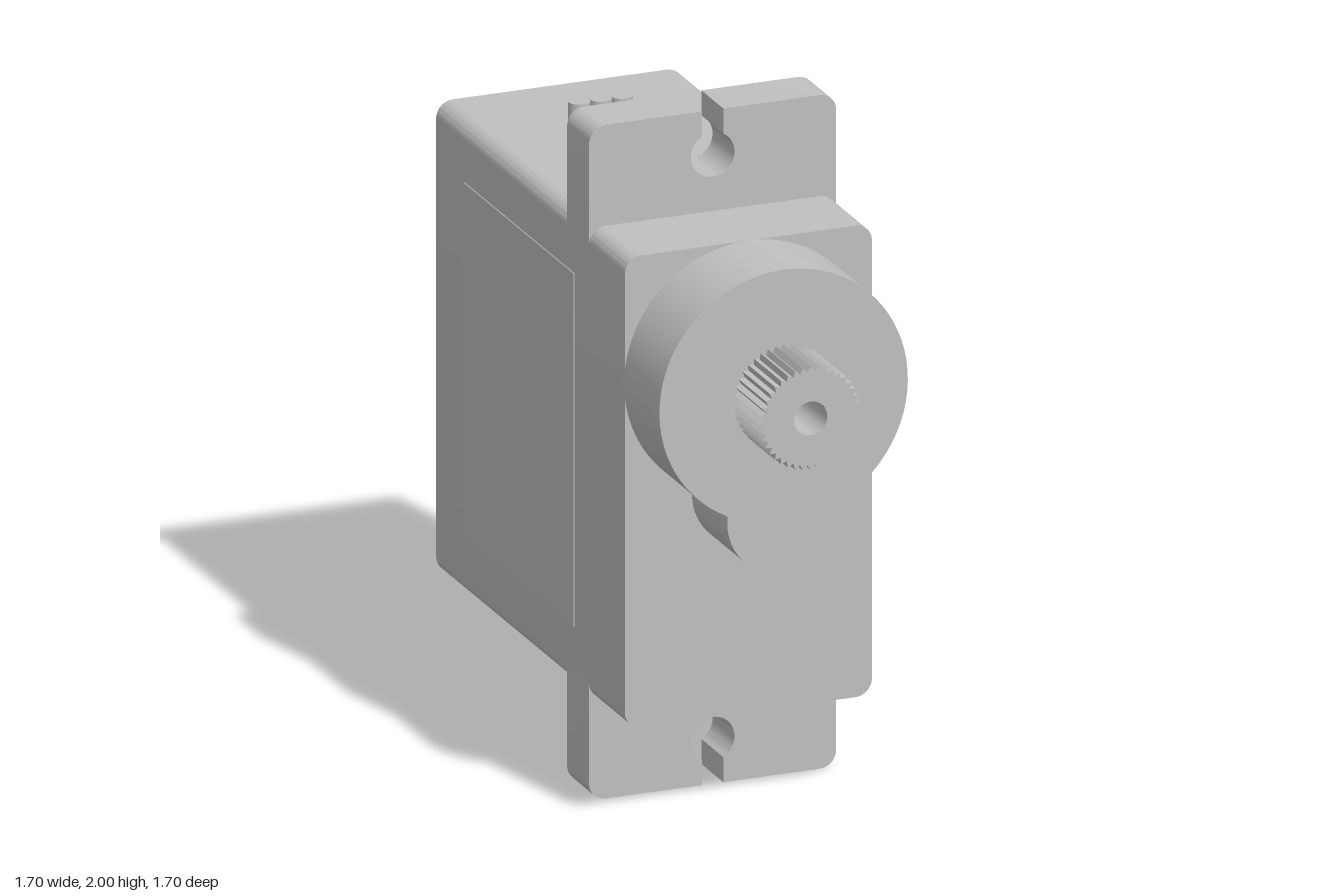
import * as THREE from 'three';
import { toCreasedNormals } from 'three/addons/utils/BufferGeometryUtils.js';

const HALF = 0.373;      // half width of the case
const AXIS_Y = 1.325;    // height of the output shaft

export function createModel() {
  const grey = new THREE.MeshStandardMaterial({ color: 0xc0c0c0 });
  grey.name = 'plastic grey';

  const root = new THREE.Group();
  root.name = 'servoMotor';
  const servo = new THREE.Group();
  servo.name = 'servo';
  servo.rotation.y = Math.PI / 4;
  root.add(servo);

  const add = (name, geometry) => {
    const mesh = new THREE.Mesh(geometry, grey);
    mesh.name = name;
    servo.add(mesh);
    return mesh;
  };

  // Extrude a front outline from z0 to z1
  const slab = (name, shape, z0, z1) => {
    const g = new THREE.ExtrudeGeometry(shape, { depth: z1 - z0, bevelEnabled: false, curveSegments: 32 });
    g.translate(0, 0, z0);
    return add(name, toCreasedNormals(g, 0.5));
  };

  const roundedRect = (w, y0, y1, r) => {
    const s = new THREE.Shape();
    s.absarc(w - r, y0 + r, r, -Math.PI / 2, 0);
    s.absarc(w - r, y1 - r, r, 0, Math.PI / 2);
    s.absarc(-w + r, y1 - r, r, Math.PI / 2, Math.PI);
    s.absarc(-w + r, y0 + r, r, Math.PI, Math.PI * 1.5);
    s.closePath();
    return s;
  };

  // Main case
  slab('case', roundedRect(HALF, 0.3, 1.7, 0.05), -0.83, 0.56);

  // Mounting ears, each with a round hole open to the end through a slot
  const ear = (yEnd, yBody) => {
    const dir = Math.sign(yEnd - yBody);
    const r = 0.05, slot = 0.032, hole = 0.066, a = Math.asin(slot / hole);
    const s = new THREE.Shape();
    const Y = (d) => yEnd - dir * d; // distance in from the free end
    const arc = (x, d, rad, from, to, n) => {
      for (let i = 0; i <= n; i++) {
        const t = from + (to - from) * i / n;
        s.lineTo(x + rad * Math.cos(t), Y(d - rad * Math.sin(t)));
      }
    };
    s.moveTo(-HALF, Y(0.36));
    s.lineTo(HALF, Y(0.36));
    arc(HALF - r, r, r, 0, Math.PI / 2, 8);
    s.lineTo(slot, Y(0));
    arc(0, 0.132, hole, Math.PI / 2 - a, Math.PI / 2 + a - Math.PI * 2, 40);
    s.lineTo(-slot, Y(0));
    arc(-HALF + r, r, r, Math.PI / 2, Math.PI, 8);
    s.closePath();
    return s;
  };
  slab('topEar', ear(2, 1.7), 0.135, 0.297);
  slab('bottomEar', ear(0, 0.3), 0.135, 0.297);

  // Gear housing: a large disc with a small lobe below
  const R = 0.375, r = 0.17, d = AXIS_Y - 0.97;
  const drop = (d * d + R * R - r * r) / (2 * d);
  const h = Math.sqrt(R * R - drop * drop);
  const big = Math.atan2(-drop, h);
  const small = Math.atan2(d - drop, h);
  const housing = new THREE.Shape();
  housing.absarc(0, AXIS_Y, R, big, Math.PI - big, false);
  housing.absarc(0, AXIS_Y - d, r, Math.PI - small, Math.PI * 2 + small, false);
  slab('gearHousing', housing, 0.55, 0.82);

  // Splined output shaft with a screw hole
  const teeth = 40;
  const spline = new THREE.Shape();
  for (let i = 0; i < teeth * 2; i++) {
    const t = i * Math.PI / teeth, rad = i % 2 ? 0.138 : 0.153;
    spline[i ? 'lineTo' : 'moveTo'](rad * Math.cos(t), AXIS_Y + rad * Math.sin(t));
  }
  spline.closePath();
  const bore = new THREE.Path();
  bore.absarc(0, AXIS_Y, 0.05, 0, Math.PI * 2, true);
  spline.holes.push(bore);
  slab('outputShaft', spline, 0.82, 1.02);

  // Three cable stubs on top
  for (const i of [-1, 0, 1]) {
    add('cable', new THREE.CylinderGeometry(0.032, 0.032, 0.16, 24))
      .position.set(i * 0.064, 1.68, -0.53);
  }

  // Thin label panel on each side
  for (const side of [-1, 1]) {
    add('sidePanel', new THREE.BoxGeometry(0.006, 1.05, 0.81))
      .position.set(side * HALF, 1.005, -0.215);
  }

  return root;
}
